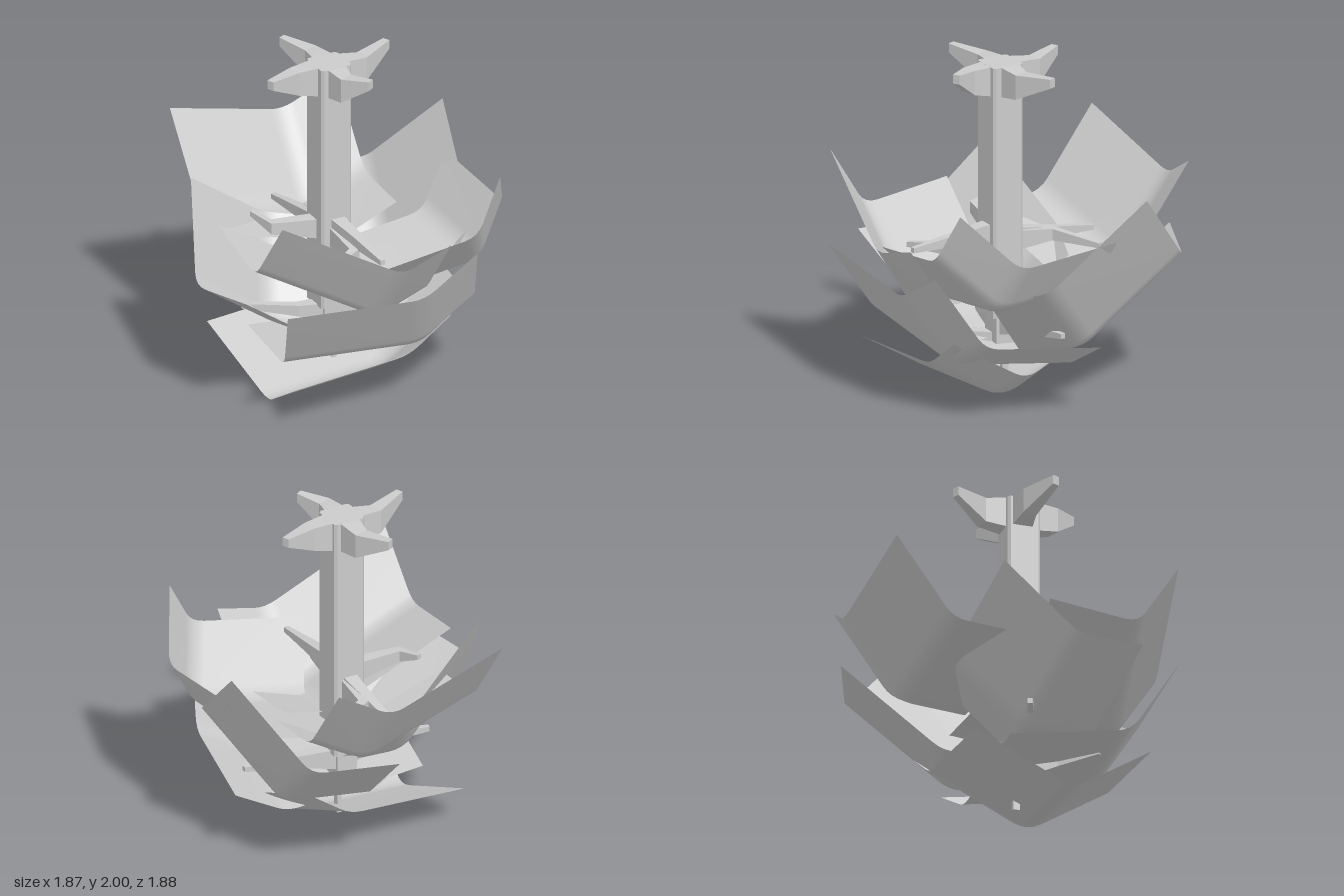
import * as THREE from 'three';

const grey = new THREE.MeshStandardMaterial({ color: 0xcccccc });
const sheet = new THREE.MeshStandardMaterial({ color: 0xcccccc, side: THREE.DoubleSide });
const V = (p) => new THREE.Vector3(...p);

// Points on a path p -> corner (origin) -> q with the corner rounded off
function bend(p, q, round = 0.085, steps = 4) {
  const start = p.clone().setLength(round), end = q.clone().setLength(round);
  const pts = [p];
  for (let i = 0; i <= steps; i++) {
    const t = i / steps;
    pts.push(start.clone().multiplyScalar((1 - t) ** 2).addScaledVector(end, t * t));
  }
  return [...pts, q];
}

// Thin plate folded softly in two directions: one bent path swept along another
function plate(name, o, a, b, c, e) {
  const U = bend(V(a), V(b)), W = bend(V(c), V(e)), origin = V(o);
  const pos = [], index = [], n = W.length;
  U.forEach((u, i) => W.forEach((w, j) => {
    const p = origin.clone().add(u).add(w);
    pos.push(p.x, p.y, p.z);
    if (i && j) {
      const k = i * n + j;
      index.push(k, k - 1, k - n, k - 1, k - n - 1, k - n);
    }
  }));
  const g = new THREE.BufferGeometry();
  g.setAttribute('position', new THREE.Float32BufferAttribute(pos, 3));
  g.setIndex(index);
  g.computeVertexNormals();
  const m = new THREE.Mesh(g, sheet);
  m.name = name;
  return m;
}

// Tapered arm lofted through sections [x, z, width, bottom, top]
function arm(name, sections) {
  const pos = [], index = [], up = new THREE.Vector3(0, 1, 0), last = sections.length - 1;
  sections.forEach(([x, z, w, lo, hi], i) => {
    const p = sections[Math.max(i - 1, 0)], q = sections[Math.min(i + 1, last)];
    const s = new THREE.Vector3(q[0] - p[0], 0, q[1] - p[1]).normalize().cross(up).multiplyScalar(w / 2);
    for (const [side, y] of [[1, lo], [1, hi], [-1, hi], [-1, lo]]) pos.push(x + side * s.x, y, z + side * s.z);
    if (i < last) for (let k = 0; k < 4; k++) {
      const A = i * 4 + k, B = i * 4 + (k + 1) % 4;
      index.push(A, A + 4, B, B, A + 4, B + 4);
    }
  });
  const t = last * 4;
  index.push(t + 3, t + 2, t + 1, t + 3, t + 1, t, 0, 1, 2, 0, 2, 3);
  let g = new THREE.BufferGeometry();
  g.setAttribute('position', new THREE.Float32BufferAttribute(pos, 3));
  g.setIndex(index);
  g = g.toNonIndexed();
  g.computeVertexNormals();
  const m = new THREE.Mesh(g, grey);
  m.name = name;
  return m;
}

function box(name, size, position) {
  const m = new THREE.Mesh(new THREE.BoxGeometry(...size), grey);
  m.name = name;
  m.position.set(...position);
  return m;
}

export function createModel() {
  const model = new THREE.Group();
  model.name = 'platedStem';
  const cx = -0.04, cz = 0.09;

  // Square stem with narrow chamfered corners
  const r = 0.1, k = 0.085;
  const outline = [[r, -k], [r, k], [k, r], [-k, r], [-r, k], [-r, -k], [-k, -r], [k, -r]];
  const stem = new THREE.Mesh(
    new THREE.ExtrudeGeometry(new THREE.Shape(outline.map((p) => new THREE.Vector2(...p))), { depth: 1.54, bevelEnabled: false }),
    grey
  );
  stem.name = 'stem';
  stem.rotation.x = -Math.PI / 2;
  stem.position.set(cx, 0.45, cz);
  model.add(stem);

  // Narrow foot and spike under the stem
  model.add(
    box('stemFoot', [0.13, 0.2, 0.13], [cx, 0.35, cz]),
    box('lowerSpike', [0.03, 0.25, 0.04], [-0.01, 0.16, 0.08])
  );

  // Four bent arms on top, arranged as a pinwheel: right, back, left, front
  const cap = new THREE.Group();
  cap.name = 'topArms';
  [0.43, 0.41, 0.43, 0.36].forEach((length, i) => {
    const m = arm('topArm', [
      [0, 0, 0.13, 1.8, 1.99],
      [0.1, 0, 0.12, 1.81, 1.99],
      [0.22, 0, 0.09, 1.83, 1.98],
      [length, -0.09, 0.045, 1.94, 1.995]
    ]);
    m.rotation.y = i * Math.PI / 2;
    cap.add(m);
  });
  cap.position.set(cx, 0, cz - 0.01);
  model.add(cap);

  // Lower supporting arms: [kink x, kink z, tip x, tip z, root height, tip height]
  const supports = [
    [-0.05, -0.22, -0.07, -0.55, 0.98, 0.87],
    [0.0, -0.24, 0.29, -0.39, 0.96, 0.89],
    [-0.4, 0.05, -0.45, -0.1, 1.0, 1.04],
    [-0.06, 0.44, -0.3, 0.56, 0.98, 0.89],
    [-0.02, 0.4, -0.01, 0.7, 1.03, 0.96],
    [0.3, 0.08, 0.63, 0.06, 0.46, 0.51],
    [-0.25, 0.1, -0.56, -0.02, 0.45, 0.5],
    [-0.15, 0.3, -0.3, 0.5, 0.34, 0.36]
  ];
  for (const [kx, kz, tx, tz, y0, y1] of supports) {
    const ym = (y0 + y1) / 2;
    model.add(arm('supportArm', [
      [cx, cz, 0.1, y0 - 0.14, y0],
      [kx, kz, 0.06, ym - 0.07, ym],
      [tx, tz, 0.03, y1 - 0.03, y1]
    ]));
  }

  // Folded plates: crossing point of the folds, then the four edge directions
  model.add(
    plate('bottomPlate', [0.24, 0.03, 0.24], [-0.77, -0.05, 0.02], [0.28, 0.2, 0], [-0.07, 0.26, -0.63], [-0.07, 0.27, 0.45]),
    plate('lowerFrontPlate', [0.29, 0.3, 0.61], [-0.89, 0.07, -0.02], [0.36, 0.21, -0.02], [0.13, -0.07, -0.7], [-0.12, 0.44, 0.27]),
    plate('leftBackPlate', [0.51, 0.34, -0.16], [0.12, 0.51, -0.59], [-0.27, -0.09, 0.25], [0.3, 0.5, 0.42], [-0.48, 0.03, -0.19]),
    plate('rightPlate', [-0.4, 0.36, 0], [-0.55, 0.41, 0.15], [0.35, -0.06, 0.13], [0.18, 0.49, -0.4], [0.11, 0.04, 0.43]),
    plate('upperFrontPlate', [-0.04, 0.57, 0.68], [-0.74, 0.41, -0.11], [0.33, 0.1, -0.03], [0.04, 0.09, -0.53], [0.04, 0.4, 0.26]),
    plate('leftFrontPlate', [0.71, 0.73, 0.555], [-0.72, -0.13, -0.065], [0.18, 0.32, -0.065], [-0.03, 0.05, -0.66], [-0.18, 0.33, 0.31]),
    plate('backPlate', [0.18, 0.72, -0.56], [-0.77, 0.21, 0.06], [0.33, 0.18, 0.05], [0, 0.48, -0.35], [0, -0.03, 0.4])
  );
  return model;
}
